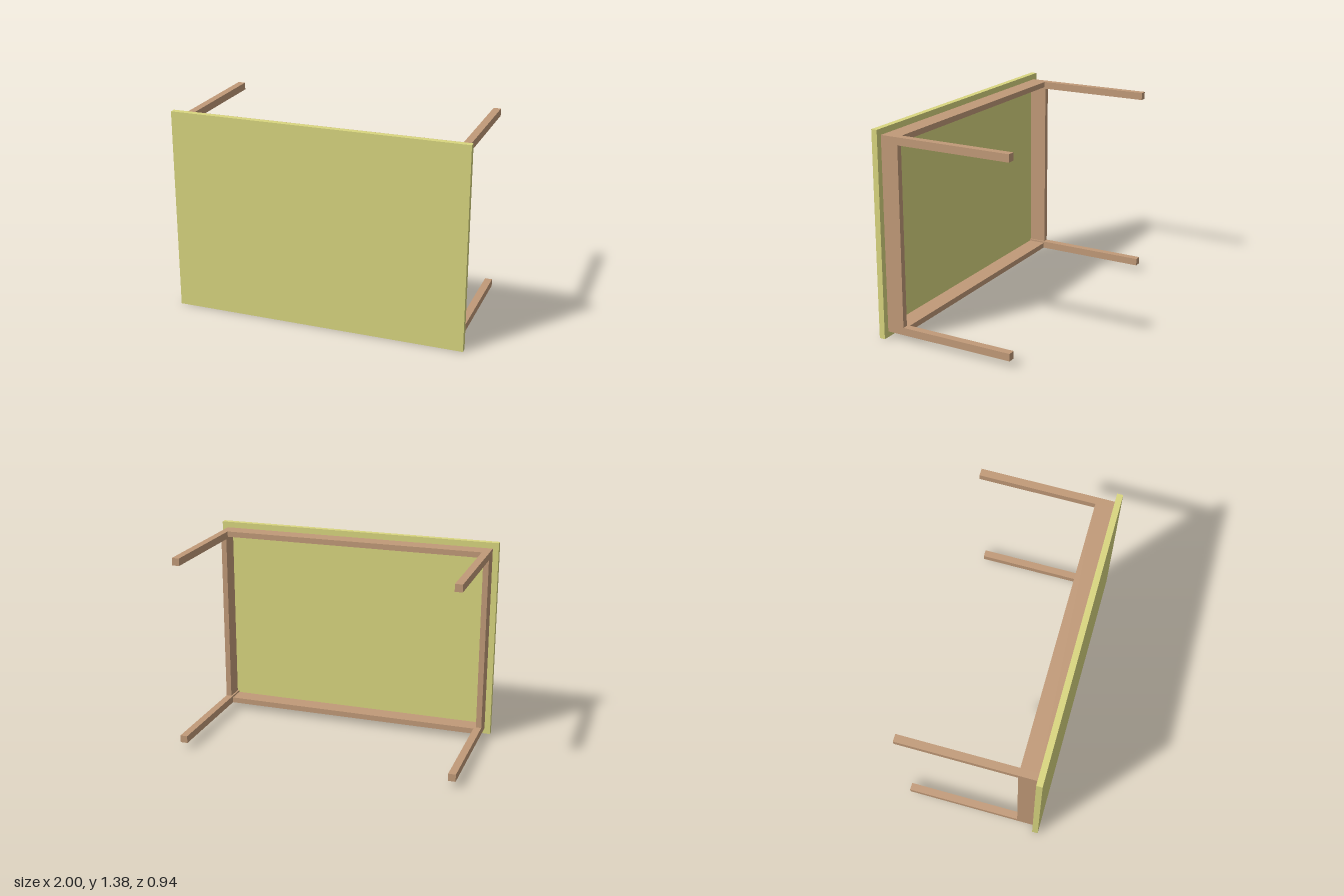
import * as THREE from 'three';

const boardMat = new THREE.MeshStandardMaterial({ color: 0xd9d67f });
const woodMat = new THREE.MeshStandardMaterial({ color: 0xc19a78 });

const HEIGHT = 1.38, MID = HEIGHT / 2;
const FRONT = 0.47, BOARD = 0.04, BACK = -0.47;
const JOIN = FRONT - BOARD;          // plane where the frame meets the board
const HX = 0.96, HY = 0.65;          // outer half sizes of the frame
const LEG = 0.05, RAIL = 0.038, APRON = 0.12;

function box(name, w, h, d, x, y, z, mat = woodMat) {
  const mesh = new THREE.Mesh(new THREE.BoxGeometry(w, h, d), mat);
  mesh.name = name;
  mesh.position.set(x, y, z);
  return mesh;
}

export function createModel() {
  const table = new THREE.Group();
  table.name = 'tableOnItsSide';

  // Table top, standing upright and facing forward
  table.add(box('tableTop', 2, HEIGHT, BOARD, 0, MID, FRONT - BOARD / 2, boardMat));

  const railZ = JOIN - APRON / 2;
  for (const s of [-1, 1]) {
    // Long and short apron rails, flush with the outer faces of the legs
    table.add(box(s > 0 ? 'upperRail' : 'lowerRail',
      2 * (HX - LEG), RAIL, APRON, 0, MID + s * (HY - RAIL / 2), railZ));
    table.add(box(s > 0 ? 'leftRail' : 'rightRail',
      RAIL, 2 * (HY - LEG), APRON, s * (HX - RAIL / 2), MID, railZ));

    // Square legs reaching back from the corners
    for (const t of [-1, 1]) {
      table.add(box((t > 0 ? 'upper' : 'lower') + (s > 0 ? 'Left' : 'Right') + 'Leg',
        LEG, LEG, JOIN - BACK,
        s * (HX - LEG / 2), MID + t * (HY - LEG / 2), (JOIN + BACK) / 2));
    }
  }
  return table;
}
